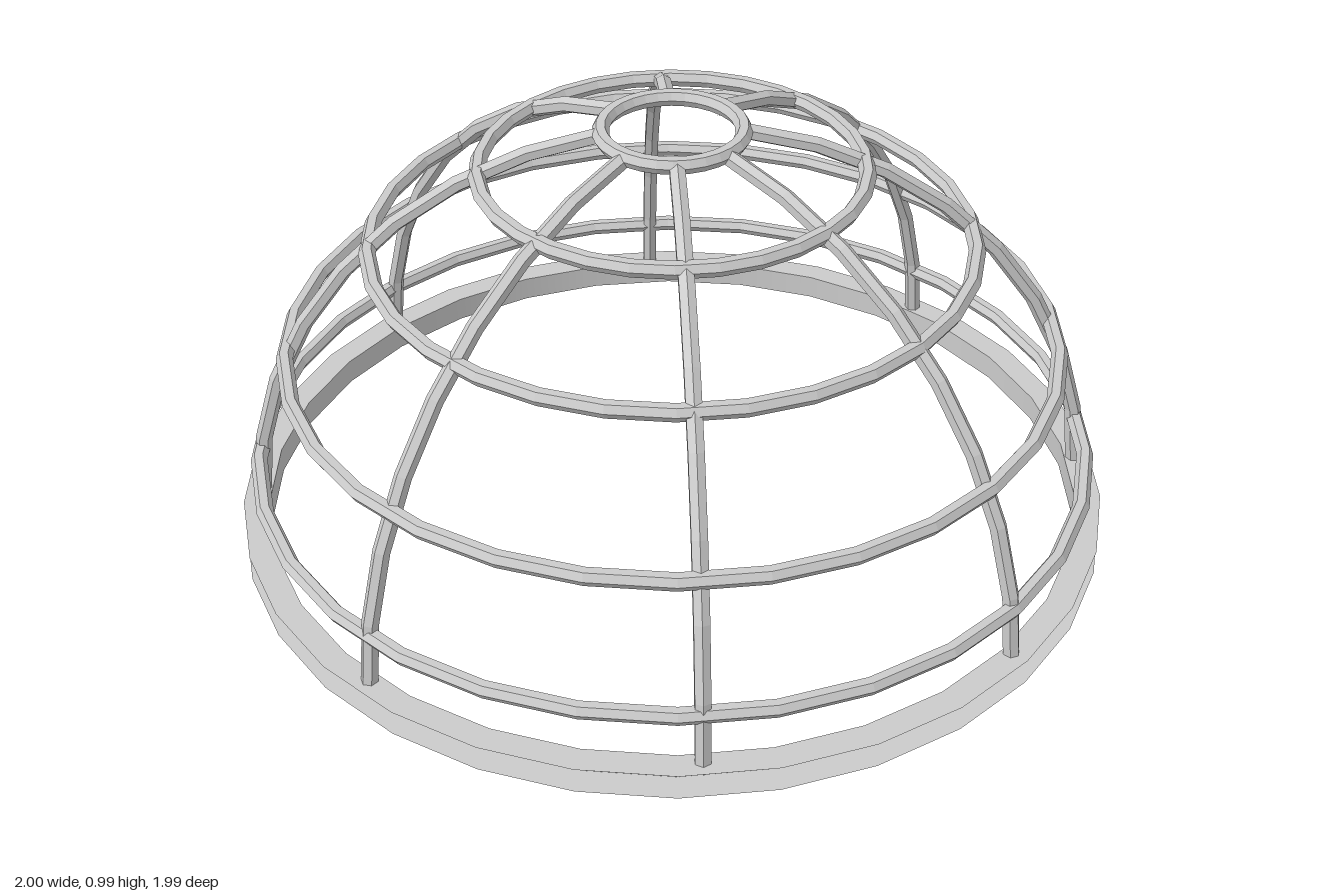
import * as THREE from 'three';

const barMaterial = new THREE.MeshStandardMaterial({ color: 0xcccccc, flatShading: true });
const hoopMaterial = new THREE.MeshStandardMaterial({ color: 0xcccccc, side: THREE.DoubleSide });
const SEGMENTS = 30;
const BAR = 0.019;
const BAR_SIDES = 6;

function addMesh(parent, name, geometry, material) {
  const mesh = new THREE.Mesh(geometry, material);
  mesh.name = name;
  parent.add(mesh);
  return mesh;
}

// Base hoop: a channel of thin top rim, inner wall and bottom rim, open outwards
function createBaseHoop() {
  const hoop = new THREE.Group();
  hoop.name = 'baseHoop';
  const profile = [[1, 0.06], [0.94, 0.06], [0.94, 0], [1, 0]]
    .map(([r, y]) => new THREE.Vector2(r, y));
  ['topRim', 'innerWall', 'bottomRim'].forEach((name, i) => {
    const geometry = new THREE.LatheGeometry([profile[i], profile[i + 1]], SEGMENTS);
    addMesh(hoop, name, geometry, hoopMaterial).rotation.y = Math.PI / 2;
  });
  return hoop;
}

// Curved rib: an arc from the base hoop up to the crown ring
function createRibGeometry() {
  const start = THREE.MathUtils.degToRad(1.2);
  const sweep = THREE.MathUtils.degToRad(79.8);
  const rib = new THREE.TorusGeometry(0.96, BAR, BAR_SIDES, 8, sweep);
  rib.rotateZ(start);
  rib.translate(0, 0.02, 0);
  return rib;
}

export function createModel() {
  const model = new THREE.Group();
  model.name = 'domeFrame';
  model.add(createBaseHoop());

  // Horizontal rings, [radius, height]
  const rings = [[0.953, 0.178], [0.87, 0.452], [0.668, 0.71], [0.422, 0.884], [0.154, 0.973]];
  rings.forEach(([radius, height], i) => {
    const geometry = new THREE.TorusGeometry(radius, BAR, BAR_SIDES, SEGMENTS);
    const ring = addMesh(model, i === rings.length - 1 ? 'crownRing' : 'ring', geometry, barMaterial);
    ring.rotation.x = Math.PI / 2;
    ring.position.y = height;
  });

  // Eight ribs spaced evenly around the dome
  const ribGeometry = createRibGeometry();
  for (let i = 0; i < 8; i++) {
    addMesh(model, 'rib', ribGeometry, barMaterial).rotation.y = (i * Math.PI) / 4;
  }
  return model;
}
